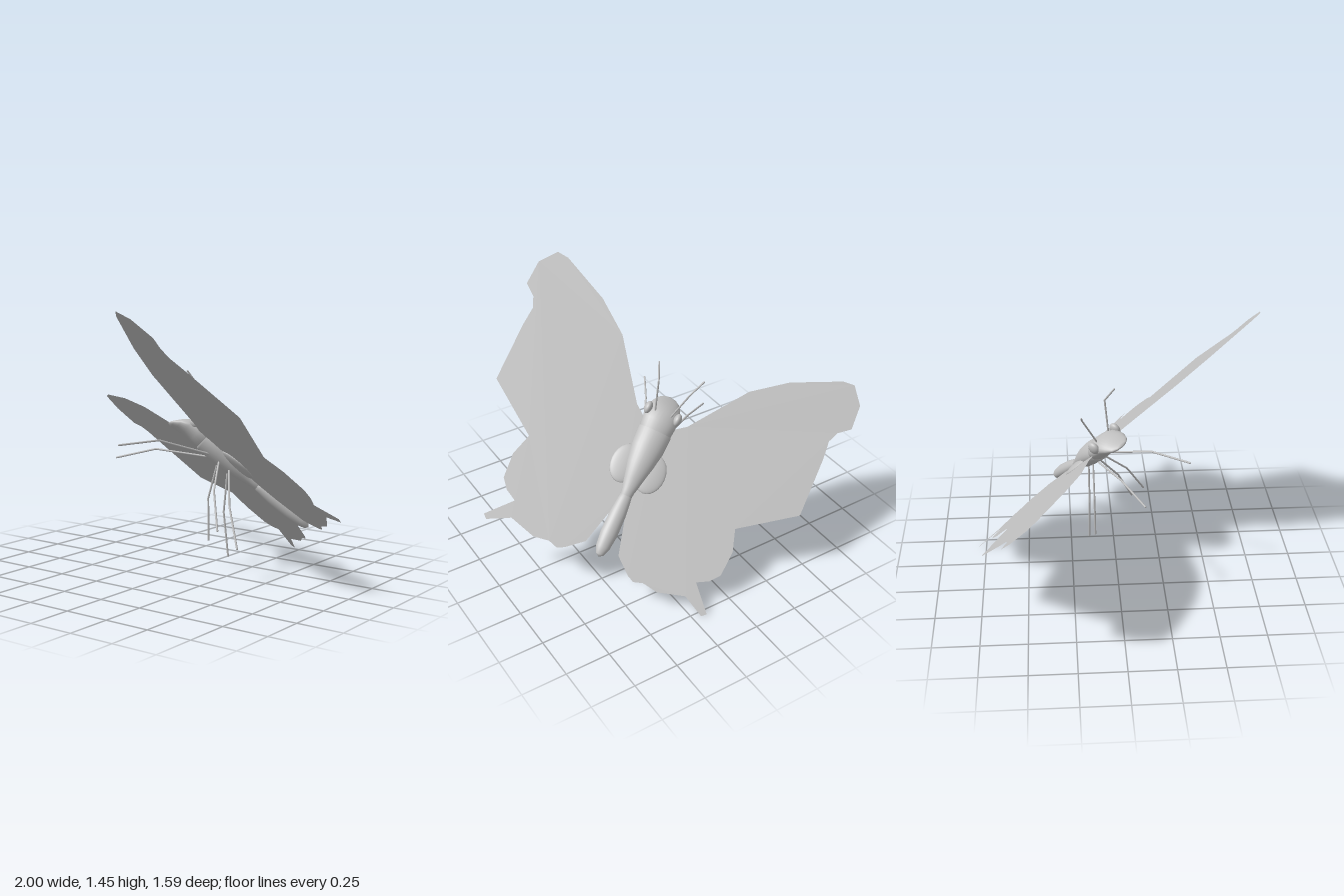
import * as THREE from 'three';
import { mergeVertices } from 'three/addons/utils/BufferGeometryUtils.js';

// Local frame: +x left, +y up from the back, +z towards the head
export function createModel() {
  const grey = new THREE.MeshStandardMaterial({ color: 0xc0c0c0 });
  grey.name = 'grey';
  const wingGrey = new THREE.MeshStandardMaterial({ color: 0xc0c0c0, side: THREE.DoubleSide });
  wingGrey.name = 'wing grey';

  const butterfly = new THREE.Group();
  butterfly.name = 'butterfly';

  function add(name, geometry, material = grey) {
    const mesh = new THREE.Mesh(geometry, material);
    mesh.name = name;
    butterfly.add(mesh);
    return mesh;
  }

  // Smooth tube of elliptical sections: [z, centre height, half width, half height]
  function loft(sections) {
    const sides = 28;
    const geo = new THREE.CylinderGeometry(1, 1, 1, sides, sections.length - 1, true);
    const p = geo.attributes.position;
    for (let i = 0; i < p.count; i++) {
      const [z, c, w, h] = sections[Math.floor(i / (sides + 1))];
      p.setXYZ(i, p.getX(i) * w, c - p.getZ(i) * h, z);
    }
    geo.deleteAttribute('uv');
    geo.deleteAttribute('normal');
    const merged = mergeVertices(geo, 1e-5);
    merged.computeVertexNormals();
    return merged;
  }

  add('head', loft([
    [0.62, -0.055, 0, 0], [0.612, -0.052, 0.035, 0.01], [0.595, -0.042, 0.06, 0.02],
    [0.565, -0.022, 0.08, 0.037], [0.52, 0, 0.092, 0.052], [0.46, 0.003, 0.096, 0.058],
    [0.4, 0.003, 0.09, 0.058], [0.36, 0.003, 0.06, 0.04], [0.35, 0.003, 0, 0],
  ]));
  add('thorax', loft([
    [0.425, 0, 0, 0], [0.42, 0, 0.08, 0.052], [0.4, 0, 0.094, 0.061], [0.3, 0.003, 0.09, 0.063],
    [0.2, 0.002, 0.075, 0.057], [0.12, 0.002, 0.055, 0.042], [0.05, 0, 0.036, 0.027],
    [0, 0, 0.03, 0.022], [-0.02, 0, 0, 0],
  ]));
  add('abdomen', loft([
    [0.05, 0, 0, 0], [0.04, 0, 0.03, 0.022], [0, 0, 0.036, 0.026], [-0.08, 0.003, 0.045, 0.036],
    [-0.2, 0.008, 0.047, 0.038], [-0.28, 0.01, 0.038, 0.03], [-0.32, 0.01, 0.022, 0.017],
    [-0.335, 0.01, 0, 0],
  ]));

  // Wing outline as [outward, forward], fore wing and tailed hind wing in one sheet
  const outline = [
    [0.02, 0.4], [0.15, 0.5], [0.38, 0.817], [0.562, 0.957], [0.829, 1.086], [0.895, 1.093],
    [0.967, 1.0], [0.974, 0.86], [0.911, 0.808], [0.886, 0.747], [0.895, 0.64], [0.898, 0.31],
    [0.607, 0.1], [0.644, -0.02], [0.635, -0.158], [0.592, -0.211], [0.529, -0.246],
    [0.648, -0.376], [0.625, -0.397], [0.506, -0.336], [0.36, -0.378], [0.273, -0.365],
    [0.222, -0.381], [0.184, -0.362], [0.095, -0.287], [0.02, 0.0],
  ];

  // Jointed thin limb through local points
  function limb(name, points, radius) {
    for (let i = 0; i < points.length - 1; i++) {
      const line = new THREE.LineCurve3(points[i], points[i + 1]);
      add(name, new THREE.TubeGeometry(line, 1, radius, 8));
      add(name + 'Joint', new THREE.SphereGeometry(radius, 8, 6)).position.copy(points[i + 1]);
    }
  }

  const legs = {
    frontLeg: [[0.04, -0.045, 0.33], [0.125, -0.19, 0.585], [0.185, -0.362, 0.722]],
    middleLeg: [[0.04, -0.045, 0.27], [0.14, -0.205, 0.185], [0.212, -0.37, 0.032]],
    hindLeg: [[0.035, -0.04, 0.2], [0.125, -0.21, 0.07], [0.189, -0.37, -0.108]],
  };
  const antenna = [[0.045, 0.04, 0.5], [0.091, 0.19, 0.628], [0.13, 0.203, 0.72]];

  for (const side of [1, -1]) {
    const prefix = side > 0 ? 'left ' : 'right ';
    const mirror = (pts) => pts.map(([x, y, z]) => new THREE.Vector3(side * x, y, z));

    const shape = new THREE.Shape(outline.map(([x, z]) => new THREE.Vector2(side * x, z)));
    add(prefix + 'wing', new THREE.ShapeGeometry(shape).rotateX(Math.PI / 2), wingGrey);

    // Soft swelling where the wing meets the thorax
    const root = add(prefix + 'wingRoot', new THREE.SphereGeometry(1, 24, 16));
    root.scale.set(0.08, 0.018, 0.11);
    root.position.set(side * 0.075, 0, 0.18);

    const eye = add(prefix + 'eye', new THREE.SphereGeometry(1, 20, 14));
    eye.scale.set(0.022, 0.036, 0.036);
    eye.position.set(side * 0.086, 0.03, 0.505);

    limb(prefix + 'antenna', mirror(antenna), 0.005);
    for (const [name, pts] of Object.entries(legs)) limb(prefix + name, mirror(pts), 0.0055);
  }

  // Tilt into a banked flying pose
  const left = new THREE.Vector3(0.636, 0.329, 0.698).normalize();
  const up = new THREE.Vector3(0.335, 0.697, -0.634).normalize();
  const forward = new THREE.Vector3().crossVectors(left, up).normalize();
  up.crossVectors(forward, left);
  butterfly.quaternion.setFromRotationMatrix(new THREE.Matrix4().makeBasis(left, up, forward));
  butterfly.position.set(0.325, 0.466, -0.213);

  const model = new THREE.Group();
  model.add(butterfly);
  return model;
}
